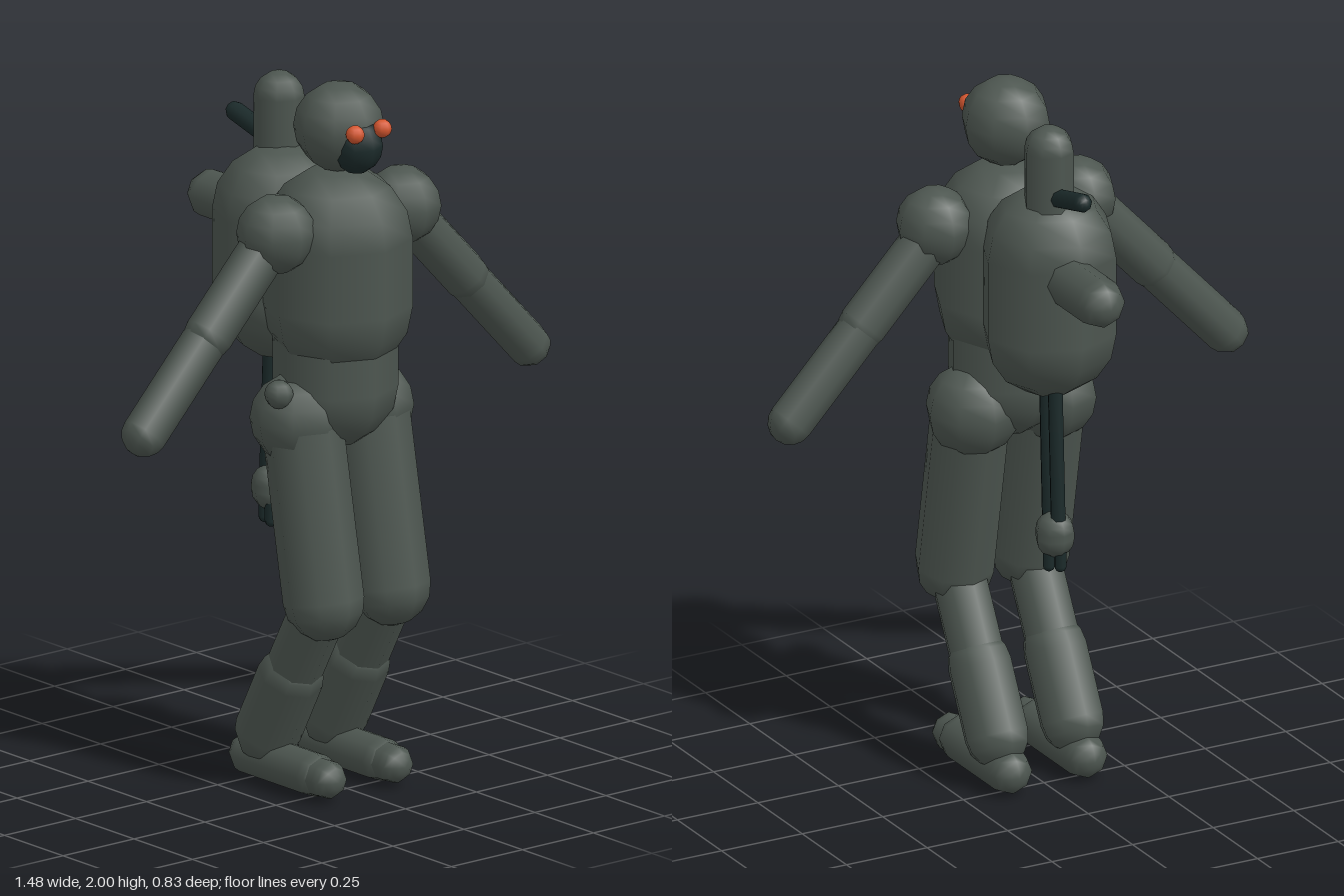
import * as THREE from 'three';

export function createModel() {
  const model = new THREE.Group();
  const mat = (name, color) => {
    const m = new THREE.MeshStandardMaterial({ color });
    m.name = name;
    return m;
  };
  const suit = mat('grey green suit', 0x4d5650);
  const dark = mat('dark rubber', 0x1b2a2a);
  const orange = mat('orange lens', 0xd4562f);

  const up = new THREE.Vector3(0, 1, 0);

  // Capsule whose end-cap centres sit at a and b
  function capsule(name, a, b, r, material = suit) {
    const p = new THREE.Vector3(...a), q = new THREE.Vector3(...b);
    const d = q.clone().sub(p);
    const mesh = new THREE.Mesh(new THREE.CapsuleGeometry(r, d.length(), 4, 8), material);
    mesh.position.copy(p).add(q).multiplyScalar(0.5);
    mesh.quaternion.setFromUnitVectors(up, d.normalize());
    mesh.name = name;
    model.add(mesh);
    return mesh;
  }

  function ball(name, c, r, material = suit) {
    const mesh = new THREE.Mesh(new THREE.SphereGeometry(r, 8, 8), material);
    mesh.position.set(...c);
    mesh.name = name;
    model.add(mesh);
    return mesh;
  }

  // Head and face
  ball('head', [0, 1.875, 0.215], 0.125);
  ball('faceMask', [0, 1.837, 0.29], 0.075, dark).scale.set(0.95, 1.05, 1);

  // Body
  capsule('torso', [0, 1.37, 0.21], [0, 1.56, 0.21], 0.206);
  capsule('abdomen', [0, 1.14, 0.2], [0, 1.28, 0.2], 0.172);
  ball('beltPouch', [-0.215, 1.155, 0.22], 0.04);

  // Mirrored parts
  for (const [side, s] of [['left', 1], ['right', -1]]) {
    ball(side + 'Eye', [s * 0.048, 1.888, 0.343], 0.026, orange);

    ball(side + 'Shoulder', [s * 0.22, 1.61, 0.215], 0.11);
    capsule(side + 'UpperArm', [s * 0.22, 1.61, 0.205], [s * 0.45, 1.365, 0.205], 0.068);
    capsule(side + 'Forearm', [s * 0.43, 1.386, 0.203], [s * 0.675, 1.125, 0.203], 0.063);

    ball(side + 'Hip', [s * 0.12, 1.06, 0.185], 0.132);
    capsule(side + 'Thigh', [s * 0.117, 1.03, 0.205], [s * 0.117, 0.567, 0.292], 0.112);
    capsule(side + 'UpperShin', [s * 0.117, 0.56, 0.285], [s * 0.117, 0.28, 0.13], 0.079);
    capsule(side + 'LowerShin', [s * 0.117, 0.32, 0.15], [s * 0.117, 0.145, 0.055], 0.092);
    capsule(side + 'Foot', [s * 0.117, 0.065, -0.015], [s * 0.117, 0.065, 0.25], 0.063);
    capsule(side + 'Toe', [s * 0.117, 0.064, 0.2], [s * 0.117, 0.064, 0.305], 0.055);
  }

  // Backpack with its stubs and lever
  capsule('backpack', [0, 1.355, -0.03], [0, 1.58, -0.03], 0.19);
  capsule('upperStub', [0.02, 1.6, -0.065], [0.02, 1.893, -0.065], 0.07);
  capsule('rearStub', [0.02, 1.547, -0.1], [0.02, 1.547, -0.348], 0.07);
  capsule('lever', [0.02, 1.757, -0.07], [0.02, 1.805, -0.252], 0.027, dark);

  // Hanging cables ending in a small gripper
  capsule('frontCable', [0.02, 1.22, -0.05], [0.02, 0.78, -0.068], 0.021, dark);
  capsule('rearCable', [0.02, 1.2, -0.1], [0.02, 0.78, -0.118], 0.021, dark);
  capsule('gripper', [0.02, 0.765, -0.098], [0.02, 0.785, -0.098], 0.055);
  [[0, -0.075], [0.04, -0.1], [0.015, -0.12]].forEach(([x, z], i) =>
    capsule('gripperFinger' + i, [x, 0.75, z], [x, 0.687, z], 0.017, dark));

  return model;
}
